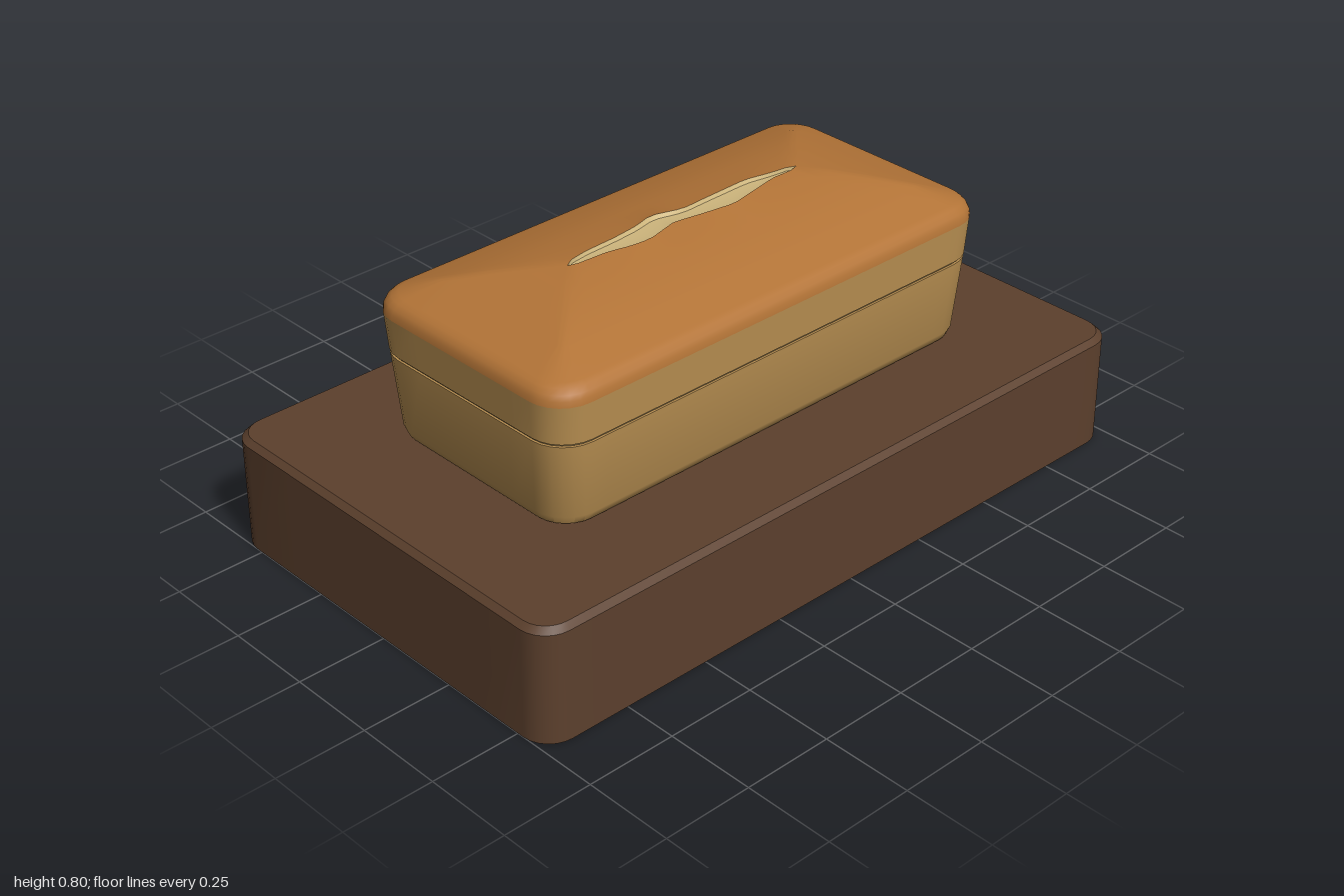
import * as THREE from 'three';
import { toCreasedNormals } from 'three/addons/utils/BufferGeometryUtils.js';

const LONG = 28, SHORT = 6, CORNER = 6;

// Rounded rectangle in the xz plane, always with the same number of points
function ring(hx, hz, radius, y) {
  const r = Math.max(0.002, Math.min(radius, hx, hz));
  const ax = hx - r, az = Math.max(hz - r, 0);
  const corners = [[ax, az], [-ax, az], [-ax, -az], [ax, -az]];
  const points = [];
  corners.forEach(([cx, cz], k) => {
    for (let i = 0; i <= CORNER; i++) {
      const a = (k + i / CORNER) * Math.PI / 2;
      points.push(new THREE.Vector3(cx + r * Math.cos(a), y, cz + r * Math.sin(a)));
    }
    const start = points[points.length - 1].clone();
    const a = (k + 1) * Math.PI / 2;
    const next = corners[(k + 1) % 4];
    const end = new THREE.Vector3(next[0] + r * Math.cos(a), y, next[1] + r * Math.sin(a));
    const n = k % 2 ? SHORT : LONG;
    for (let i = 1; i < n; i++) points.push(start.clone().lerp(end, i / n));
  });
  return points;
}

// Skin through a stack of rings, keeping sharp edges sharp
function loft(rings, crease = 0.5) {
  const n = rings[0].length, positions = [], index = [];
  rings.forEach(points => points.forEach(p => positions.push(p.x, p.y, p.z)));
  for (let j = 0; j < rings.length - 1; j++) {
    for (let i = 0; i < n; i++) {
      const a = j * n + i, b = j * n + (i + 1) % n;
      index.push(a, a + n, b, b, a + n, b + n);
    }
  }
  const geometry = new THREE.BufferGeometry();
  geometry.setAttribute('position', new THREE.Float32BufferAttribute(positions, 3));
  geometry.setIndex(index);
  return toCreasedNormals(geometry, crease);
}

// Piecewise linear lookup in [x, z] pairs
function edgeAt(table, x) {
  for (let i = 1; i < table.length; i++) {
    const [x0, z0] = table[i - 1], [x1, z1] = table[i];
    if (x <= x1) return z0 + (z1 - z0) * (x - x0) / (x1 - x0);
  }
  return 0;
}

// Ragged edges of the split on top
const backEdge = [[-0.39, 0], [-0.37, -0.015], [-0.31, -0.025], [-0.21, -0.029], [-0.13, -0.038], [-0.07, -0.055],
  [0, -0.032], [0.03, -0.027], [0.08, -0.03], [0.24, -0.035], [0.32, -0.017], [0.38, -0.01], [0.39, 0]];
const frontEdge = [[-0.39, 0], [-0.37, 0.008], [-0.27, 0.014], [-0.21, 0.03], [-0.15, 0.035], [-0.05, 0.01],
  [0.03, 0.025], [0.13, 0.04], [0.23, 0.02], [0.3, 0.006], [0.37, 0.008], [0.39, 0]];

function splitRing(y, widthScale) {
  return ring(0.41, 0.04, 0.02, y).map(p => {
    const x = THREE.MathUtils.clamp(p.x, -0.39, 0.39);
    return new THREE.Vector3(x, y, widthScale * edgeAt(p.z > 0 ? frontEdge : backEdge, x));
  });
}

export function createModel() {
  const model = new THREE.Group();
  const material = (name, color, side = THREE.FrontSide) => {
    const m = new THREE.MeshStandardMaterial({ color, side });
    m.name = name;
    return m;
  };
  const wood = material('dark wood', 0x5c402d, THREE.DoubleSide);
  const bread = material('bread side', 0xb88f51);
  const crustColor = material('crust', 0xb37437);
  const crumb = material('crumb', 0xcdb57c, THREE.DoubleSide);
  const seamColor = material('seam', 0x75603a);

  const add = (name, rings, mat, crease) => {
    const mesh = new THREE.Mesh(loft(rings, crease), mat);
    mesh.name = name;
    model.add(mesh);
  };

  // Board: hollow underneath, bevelled top
  add('board', [
    ring(1, 0.6, 0.08, 0),
    ring(1, 0.6, 0.08, 0.305),
    ring(0.985, 0.585, 0.07, 0.32),
    ring(0.4, 0.002, 0.002, 0.32),
  ], wood);

  // Lower loaf: tapered, with a rounded foot
  add('loafBase', [
    ring(0.685, 0.31, 0.08, 0.32),
    ring(0.698, 0.323, 0.09, 0.327),
    ring(0.708, 0.333, 0.1, 0.35),
    ring(0.723, 0.349, 0.1, 0.558),
    ring(0.715, 0.341, 0.095, 0.558),
  ], bread, 0.7);

  // Narrow groove around the loaf
  add('seam', [ring(0.717, 0.343, 0.097, 0.555), ring(0.717, 0.343, 0.097, 0.57)], seamColor);

  // Upper loaf wall
  add('loafUpper', [
    ring(0.715, 0.341, 0.095, 0.566),
    ring(0.724, 0.35, 0.1, 0.566),
    ring(0.732, 0.355, 0.1, 0.67),
  ], bread, 0.7);

  // Crust: rounded shoulder, then a hipped roof rising to the split
  const crustProfile = [[0, 0.67], [0.002, 0.685], [0.008, 0.698], [0.02, 0.71], [0.035, 0.716],
    [0.05, 0.721], [0.125, 0.749], [0.21, 0.771], [0.28, 0.786]];
  const crustRings = crustProfile.map(([d, y]) => ring(0.732 - d, 0.355 - d, Math.max(0.1 - d * 0.7, 0.02), y));
  add('crust', [...crustRings, splitRing(0.795, 1)], crustColor, 0.7);

  // Pale crumb sunk into the split
  add('split', [splitRing(0.795, 1), splitRing(0.786, 0.82), splitRing(0.784, 0)], crumb);

  return model;
}
